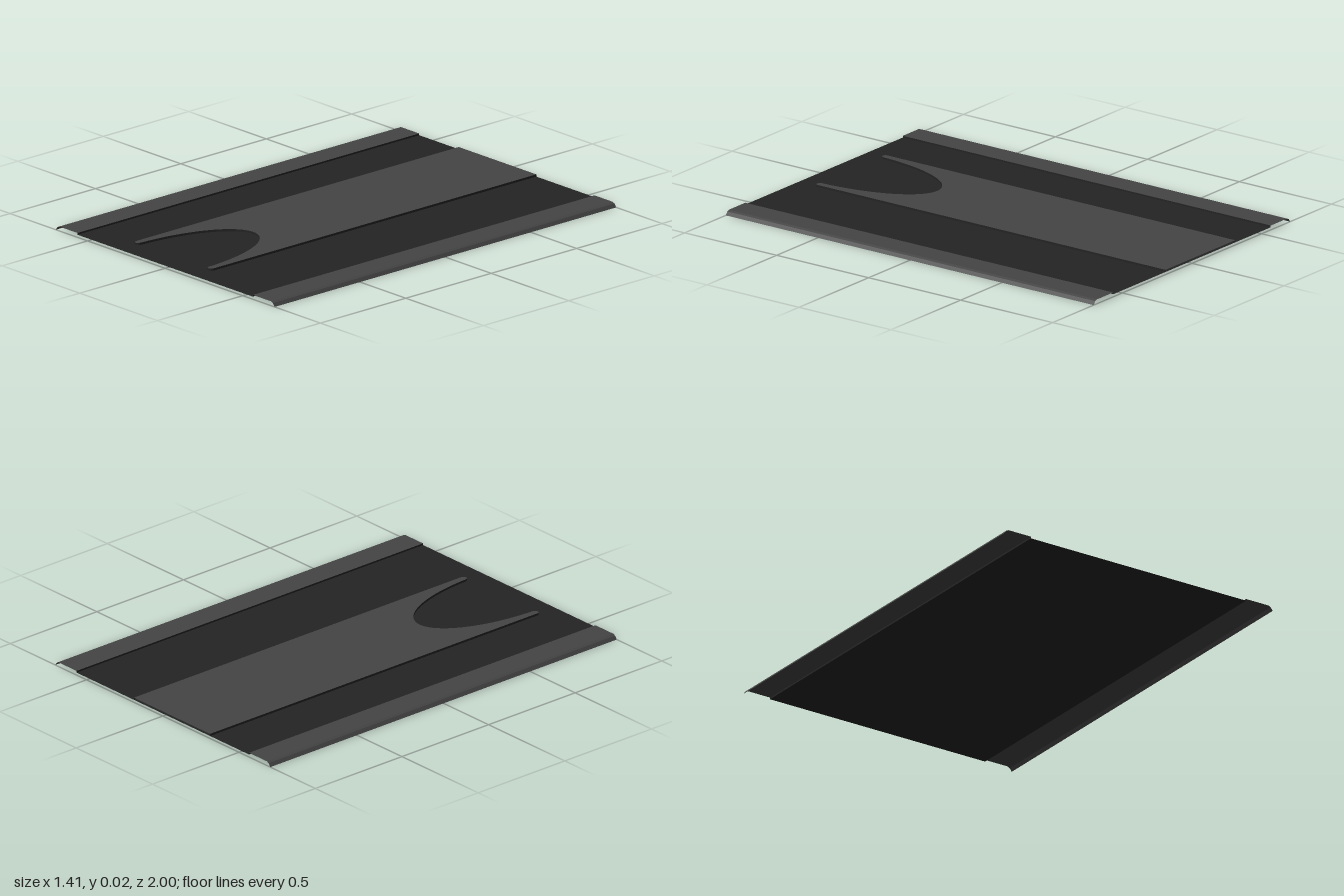
import * as THREE from 'three';

const asphalt = new THREE.MeshStandardMaterial({ name: 'asphalt', color: 0x242424, side: THREE.DoubleSide });
const concrete = new THREE.MeshStandardMaterial({ name: 'concrete', color: 0x444444, side: THREE.DoubleSide });

const ROAD_Y = 0.012, MEDIAN_Y = 0.022, WALK_Y = 0.02;

// Builds a flat-shaded strip of quads between two equally long lists of points
function strip(a, b, material, name) {
  const pos = [];
  for (let i = 0; i < a.length - 1; i++) {
    pos.push(...a[i], ...b[i], ...b[i + 1], ...a[i], ...b[i + 1], ...a[i + 1]);
  }
  const geo = new THREE.BufferGeometry();
  geo.setAttribute('position', new THREE.Float32BufferAttribute(pos, 3));
  geo.computeVertexNormals();
  const mesh = new THREE.Mesh(geo, material);
  mesh.name = name;
  return mesh;
}

// Runs an (x, y) profile along the whole length of the road
function lengthwise(profile, material, name) {
  const at = z => profile.map(([x, y]) => [x, y, z]);
  return strip(at(-1), at(1), material, name);
}

// Outline of the median as (x, z): straight sides, rounded tips, elliptical notch
function medianOutline() {
  const pts = [[-0.31, -1]];
  const arc = (cx, cz, rx, rz, from, to, n) => {
    for (let i = 0; i <= n; i++) {
      const t = from + (to - from) * i / n;
      pts.push([cx + rx * Math.cos(t), cz + rz * Math.sin(t)]);
    }
  };
  arc(-0.295, 0.89, 0.015, 0.015, Math.PI, 0, 8);
  arc(-0.06, 0.93, 0.22, 0.5, Math.PI + 0.08, 2 * Math.PI - 0.08, 40);
  arc(0.175, 0.89, 0.015, 0.015, Math.PI, 0, 8);
  pts.push([0.19, -1]);
  return pts;
}

export function createModel() {
  const model = new THREE.Group();
  model.name = 'roadSection';

  // Carriageway, a single flat sheet
  model.add(lengthwise([[-0.565, ROAD_Y], [0.565, ROAD_Y]], asphalt, 'roadSurface'));

  // Sidewalks with an inner curb and a bevelled outer edge
  const walk = [[0.565, WALK_Y], [0.682, WALK_Y], [0.694, 0.015], [0.705, 0]];
  const curb = [[0.565, ROAD_Y], [0.565, WALK_Y]];
  for (const [side, s] of [['left', 1], ['right', -1]]) {
    const place = p => {
      const q = p.map(([x, y]) => [s * x, y]);
      return s > 0 ? q : q.reverse();
    };
    model.add(lengthwise(place(walk), concrete, side + 'Sidewalk'));
    model.add(lengthwise(place(curb), asphalt, side + 'Curb'));
  }

  // Raised median
  const outline = medianOutline();
  const shape = new THREE.Shape(outline.map(([x, z]) => new THREE.Vector2(x, -z)));
  const top = new THREE.Mesh(new THREE.ShapeGeometry(shape).rotateX(-Math.PI / 2), concrete);
  top.position.y = MEDIAN_Y;
  top.name = 'medianTop';
  model.add(top);

  // Dark wall around the median
  const ring = y => outline.map(([x, z]) => [x, y, z]);
  model.add(strip(ring(MEDIAN_Y), ring(ROAD_Y), asphalt, 'medianWall'));

  return model;
}
